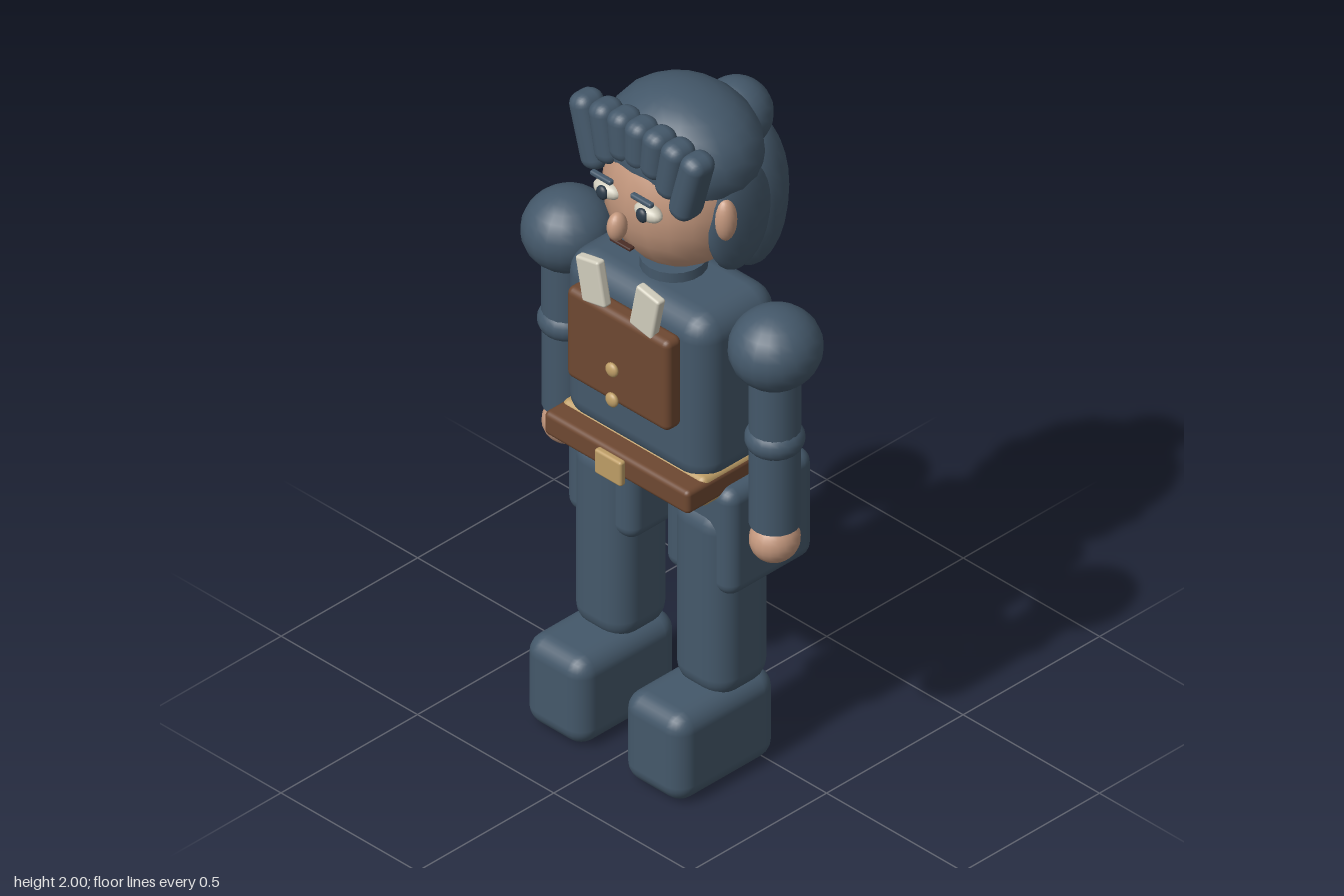
import * as THREE from 'three';
import { RoundedBoxGeometry } from 'three/addons/geometries/RoundedBoxGeometry.js';

const material = (name, color) => {
  const m = new THREE.MeshStandardMaterial({ color });
  m.name = name;
  return m;
};

export function createModel() {
  const navy = material('slate navy cloth', 0x44586a);
  const skin = material('skin', 0xc4987e);
  const leather = material('brown leather', 0x6e4831);
  const gold = material('dull gold', 0xbd9d66);
  const cream = material('cream', 0xd0ccbc);
  const dark = material('dark iris', 0x2c3b49);
  const lip = material('dark lip', 0x4a2d26);

  const model = new THREE.Group();
  model.name = 'figure';

  const add = (name, geometry, mat, x, y, z, parent = model) => {
    const mesh = new THREE.Mesh(geometry, mat);
    mesh.name = name;
    mesh.position.set(x, y, z);
    parent.add(mesh);
    return mesh;
  };
  const box = (name, mat, [w, h, d], radius, [x, y, z], parent) =>
    add(name, new RoundedBoxGeometry(w, h, d, 3, radius), mat, x, y, z, parent);
  const ball = (name, mat, [rx, ry, rz], [x, y, z], parent) =>
    add(name, new THREE.SphereGeometry(1, 20, 14).scale(rx, ry, rz), mat, x, y, z, parent);
  const tube = (name, mat, r, bottom, top, x, z, parent) =>
    add(name, new THREE.CylinderGeometry(r, r, top - bottom, 18), mat, x, (top + bottom) / 2, z, parent);

  // Torso and collar
  box('torso', navy, [0.53, 0.53, 0.3], 0.075, [0, 1.195, 0.07]);
  tube('collar', navy, 0.09, 1.42, 1.49, 0, 0.06);

  // Chest panel, buttons and lapels
  box('chestPanel', leather, [0.374, 0.285, 0.06], 0.02, [0, 1.257, 0.242]);
  for (const y of [1.235, 1.14]) ball('button', gold, [0.021, 0.021, 0.012], [0, y, 0.287]);

  // Belt layers, buckle and side pouch
  box('beltLining', gold, [0.525, 0.093, 0.305], 0.02, [0, 0.931, 0.063]);
  box('belt', leather, [0.53, 0.073, 0.345], 0.015, [0, 0.931, 0.102]);
  box('buckle', gold, [0.098, 0.077, 0.022], 0.008, [0, 0.932, 0.294]);
  box('pouch', leather, [0.1, 0.22, 0.18], 0.025, [-0.293, 0.83, -0.01]);

  // Head, nose and mouth
  const head = new THREE.Group();
  head.name = 'head';
  model.add(head);
  ball('face', skin, [0.205, 0.24, 0.205], [0, 1.715, 0.035], head);
  ball('nose', skin, [0.025, 0.042, 0.03], [0, 1.68, 0.268], head);
  box('mouth', lip, [0.075, 0.01, 0.02], 0.004, [0, 1.617, 0.25], head);

  // Hair: cap, fringe and ponytail
  ball('hairCap', navy, [0.225, 0.17, 0.195], [0, 1.83, 0.022], head);
  const fringe = [[1.975, 1.83], [1.975, 1.825], [1.97, 1.79], [1.965, 1.745]];
  for (let i = -3; i <= 3; i++) {
    const [top, bottom] = fringe[Math.abs(i)];
    const lock = box('fringeLock', navy, [0.076, top - bottom, 0.092], 0.034,
      [i * 0.061, (top + bottom) / 2, 0.177], head);
    lock.rotation.z = -i * 0.09;
  }
  ball('ponytailKnot', navy, [0.098, 0.1, 0.1], [0, 1.825, -0.167], head);
  ball('ponytail', navy, [0.095, 0.23, 0.11], [0, 1.556, -0.218], head);

  // Mirrored parts
  for (const s of [1, -1]) {
    const side = s > 0 ? 'left' : 'right';
    const x = (v) => s * v;

    const lapel = box(side + 'Lapel', cream, [0.086, 0.135, 0.03], 0.008, [x(0.099), 1.455, 0.256]);
    lapel.rotation.z = -s * 0.2;

    // Face details
    ball(side + 'Eye', cream, [0.046, 0.024, 0.026], [x(0.075), 1.742, 0.228], head);
    ball(side + 'Iris', dark, [0.019, 0.021, 0.012], [x(0.073), 1.742, 0.25], head);
    box(side + 'Brow', navy, [0.076, 0.015, 0.018], 0.006, [x(0.074), 1.79, 0.25], head);
    ball(side + 'Ear', skin, [0.032, 0.065, 0.033], [x(0.2), 1.705, 0.073], head);
    ball(side + 'SideLock', navy, [0.043, 0.165, 0.11], [x(0.182), 1.677, 0.005], head);

    // Arm
    const arm = new THREE.Group();
    arm.name = side + 'Arm';
    model.add(arm);
    ball('shoulder', navy, [0.123, 0.115, 0.128], [x(0.38), 1.387, 0.067], arm);
    tube('upperArm', navy, 0.069, 1.1, 1.35, x(0.38), 0.07, arm);
    ball('elbow', navy, [0.08, 0.058, 0.08], [x(0.38), 1.105, 0.07], arm);
    tube('forearm', navy, 0.068, 0.835, 1.1, x(0.38), 0.07, arm);
    ball('hand', skin, [0.066, 0.066, 0.07], [x(0.38), 0.785, 0.07], arm);

    // Hip block, leg and boot
    const leg = new THREE.Group();
    leg.name = side + 'Leg';
    model.add(leg);
    box('hipBlock', navy, [0.252, 0.335, 0.315], 0.04, [x(0.181), 0.752, 0.003], leg);
    box('thighAndShin', navy, [0.2, 0.6, 0.21], 0.07, [x(0.185), 0.54, 0.07], leg);
    box('boot', navy, [0.222, 0.275, 0.366], 0.055, [x(0.181), 0.138, 0.147], leg);
  }

  return model;
}
